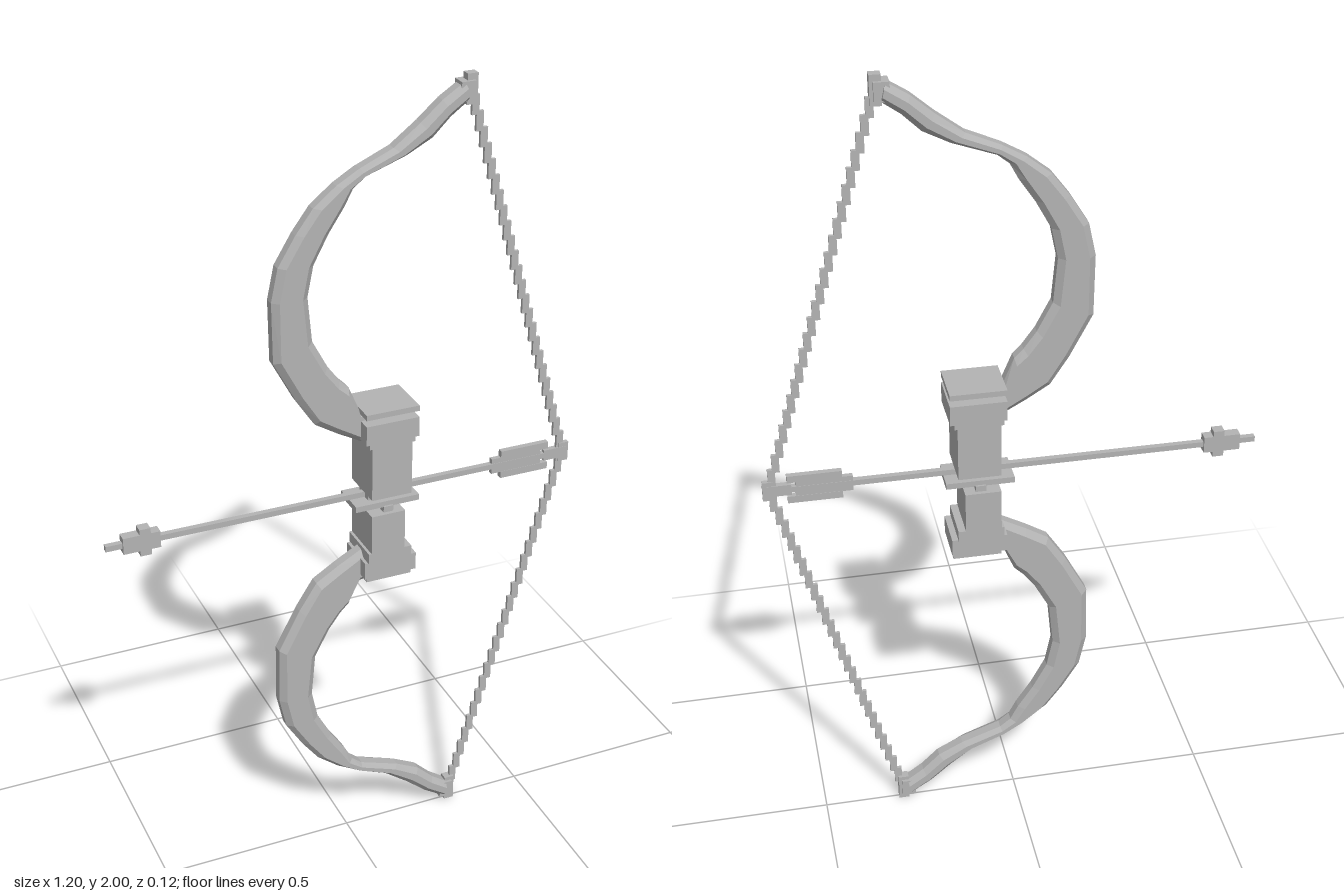
import * as THREE from 'three';

const grey = new THREE.MeshStandardMaterial({ color: 0xb3b3b3, flatShading: true });
grey.name = 'plain grey';

// Limb stations: outer x, outer height, inner x, inner height (heights from the arrow line)
const STATIONS = [
  [0.045, 0.143, 0.045, 0.233], [0.03, 0.15, 0.025, 0.237], [-0.03, 0.183, 0.0, 0.296],
  [-0.085, 0.217, -0.022, 0.318], [-0.13, 0.286, -0.053, 0.36], [-0.185, 0.39, -0.09, 0.43],
  [-0.187, 0.54, -0.1, 0.54], [-0.17, 0.62, -0.085, 0.614], [-0.127, 0.69, -0.048, 0.683],
  [-0.085, 0.746, -0.01, 0.74], [-0.03, 0.79, 0.01, 0.778], [0.026, 0.822, 0.037, 0.8],
  [0.106, 0.857, 0.138, 0.836], [0.17, 0.905, 0.2, 0.868], [0.222, 0.95, 0.243, 0.91],
  [0.275, 0.984, 0.285, 0.94],
];

// Loft an eight-sided bevelled section through the stations; side = 1 up, -1 down
function limbGeometry(side) {
  const pos = [], idx = [];
  const add = (a, b, c) => (side > 0 ? idx.push(a, b, c) : idx.push(a, c, b));
  for (const [ox, oy, ix, iy] of STATIONS) {
    const inset = Math.min(0.3, 0.016 / Math.hypot(ix - ox, iy - oy));
    const ring = [[1, -0.012], [1, 0.012], [1 - inset, 0.026], [inset, 0.026],
      [0, 0.012], [0, -0.012], [inset, -0.026], [1 - inset, -0.026]];
    for (const [t, z] of ring) pos.push(ox + (ix - ox) * t, 1 + side * (oy + (iy - oy) * t), z);
  }
  const last = (STATIONS.length - 1) * 8;
  for (let s = 0; s < last; s += 8) {
    for (let j = 0; j < 8; j++) {
      const k = (j + 1) % 8;
      add(s + j, s + 8 + j, s + 8 + k);
      add(s + j, s + 8 + k, s + k);
    }
  }
  for (let j = 1; j < 7; j++) {
    add(0, j, j + 1);
    add(last, last + j + 1, last + j);
  }
  const indexed = new THREE.BufferGeometry();
  indexed.setAttribute('position', new THREE.Float32BufferAttribute(pos, 3));
  indexed.setIndex(idx);
  const g = indexed.toNonIndexed();
  g.computeVertexNormals();
  return g;
}

// Box given by its x and y ranges and its half depth
function box(parent, name, x0, x1, y0, y1, hz) {
  const m = new THREE.Mesh(new THREE.BoxGeometry(x1 - x0, y1 - y0, hz * 2), grey);
  m.position.set((x0 + x1) / 2, (y0 + y1) / 2, 0);
  m.name = name;
  parent.add(m);
}

function group(parent, name) {
  const g = new THREE.Group();
  g.name = name;
  parent.add(g);
  return g;
}

export function createModel() {
  const bow = new THREE.Group();
  bow.name = 'bowAndArrow';

  for (const side of [1, -1]) {
    const label = side > 0 ? 'upper' : 'lower';
    const limb = new THREE.Mesh(limbGeometry(side), grey);
    limb.name = label + 'Limb';
    bow.add(limb);

    // Nock block at the limb tip
    const tip = group(bow, label + 'Tip');
    const yBox = (n, x0, x1, a, b, hz) =>
      box(tip, n, x0, x1, Math.min(1 + side * a, 1 + side * b), Math.max(1 + side * a, 1 + side * b), hz);
    yBox('tipBlock', 0.265, 0.3, 0.94, 0.985, 0.018);
    yBox('tipPost', 0.282, 0.308, 0.93, 1.0, 0.011);

    // Stepped string running from the tip to the arrow's nock
    const string = group(bow, label + 'String');
    const steps = 24, h = 0.93 / steps;
    for (let i = 0; i < steps; i++) {
      const x = 0.302 + (i + 0.5) * (0.278 / steps);
      const y = 1 + side * (0.945 - (i + 0.5) * h);
      box(string, 'stringStep', x - 0.009, x + 0.009, y - h / 2 - 0.004, y + h / 2 + 0.004, 0.004);
    }
  }

  // Handle: upper grip, arrow rest and lower grip
  const handle = group(bow, 'handle');
  box(handle, 'topCap', 0.025, 0.16, 1.226, 1.24, 0.06);
  box(handle, 'topNeck', 0.035, 0.148, 1.205, 1.228, 0.027);
  box(handle, 'upperBand', 0.025, 0.16, 1.16, 1.21, 0.06);
  box(handle, 'upperBandStep', 0.033, 0.15, 1.148, 1.162, 0.06);
  box(handle, 'upperGrip', 0.04, 0.143, 1.01, 1.15, 0.06);
  box(handle, 'middleNeck', 0.045, 0.125, 0.955, 1.012, 0.025);
  box(handle, 'arrowRest', 0.005, 0.17, 0.977, 0.992, 0.045);
  box(handle, 'restPeg', 0.075, 0.1, 0.945, 0.98, 0.05);
  box(handle, 'lowerGrip', 0.04, 0.127, 0.85, 0.965, 0.06);
  box(handle, 'lowerBandStep', 0.033, 0.145, 0.835, 0.862, 0.06);
  box(handle, 'lowerBand', 0.025, 0.16, 0.79, 0.835, 0.055);
  box(handle, 'bottomCap', 0.037, 0.155, 0.77, 0.795, 0.038);

  // Arrow pointing to -x
  const arrow = group(bow, 'arrow');
  box(arrow, 'shaft', -0.6, 0.585, 0.993, 1.007, 0.007);
  box(arrow, 'headBody', -0.56, -0.47, 0.98, 1.022, 0.013);
  box(arrow, 'headBarb', -0.52, -0.493, 0.966, 1.036, 0.013);
  box(arrow, 'fletchCore', 0.385, 0.52, 0.98, 1.02, 0.006);
  for (const y of [1.028, 0.972]) box(arrow, 'fletchFin', 0.41, 0.54, y - 0.009, y + 0.009, 0.007);
  box(arrow, 'nock', 0.53, 0.59, 0.986, 1.014, 0.007);
  box(arrow, 'stringCentre', 0.572, 0.598, 0.975, 1.025, 0.006);

  return bow;
}
